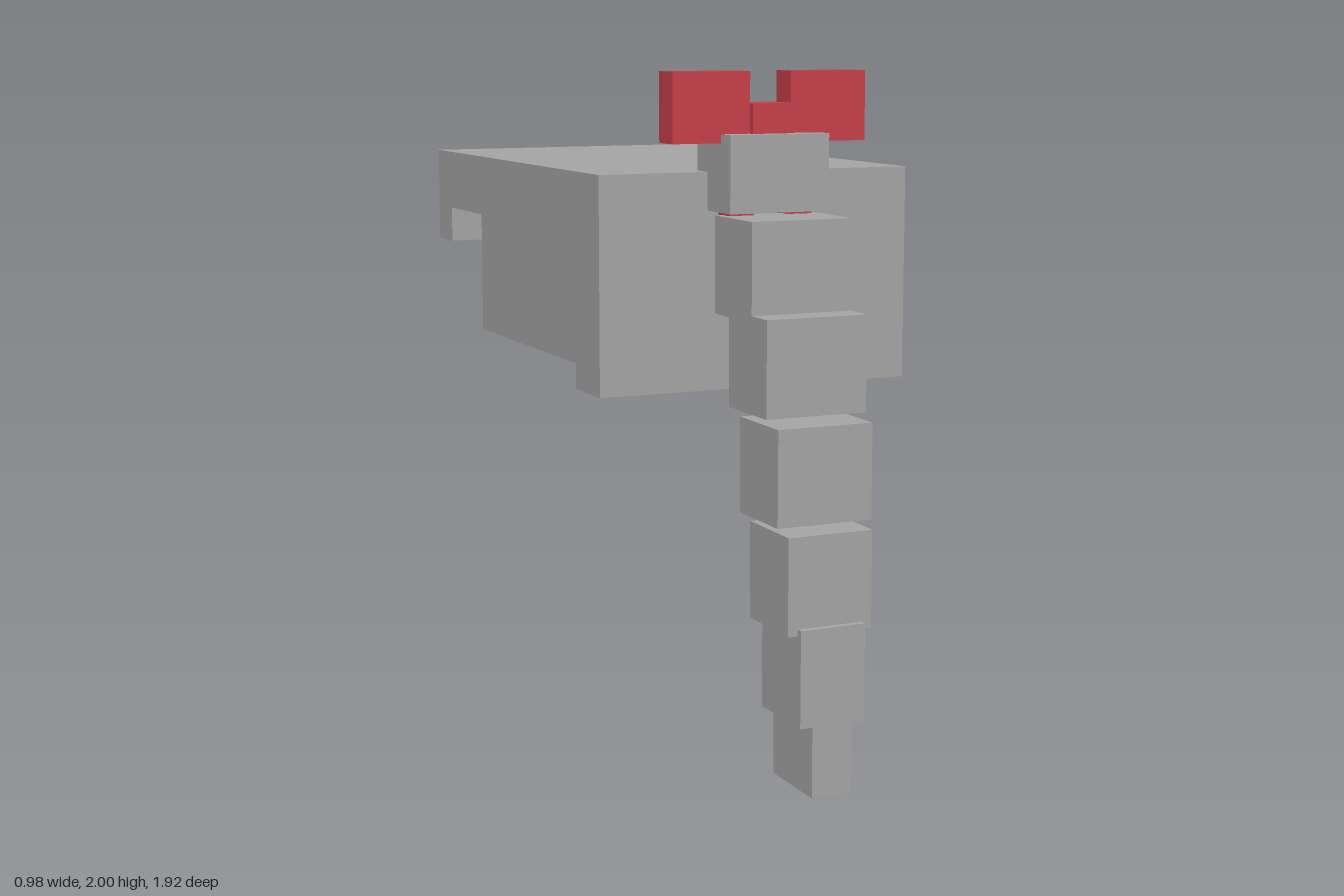
import * as THREE from 'three';

const gray = new THREE.MeshStandardMaterial({ color: 0xa3a3a3 });
gray.name = 'gray skin';
const red = new THREE.MeshStandardMaterial({ color: 0xc43e49 });
red.name = 'red ribbon';

// Box given by its extents along each axis
function block(parent, name, material, [x0, x1], [y0, y1], [z0, z1]) {
  const mesh = new THREE.Mesh(new THREE.BoxGeometry(x1 - x0, y1 - y0, z1 - z0), material);
  mesh.position.set((x0 + x1) / 2, (y0 + y1) / 2, (z0 + z1) / 2);
  mesh.name = name;
  parent.add(mesh);
}

// Pair of boxes mirrored across x = 0
function pair(parent, name, material, [x0, x1], y, z) {
  block(parent, name + 'Left', material, [x0, x1], y, z);
  block(parent, name + 'Right', material, [-x1, -x0], y, z);
}

export function createModel() {
  const model = new THREE.Group();
  model.name = 'trunkedHeadpiece';

  // Hollow head shell, open underneath
  const head = new THREE.Group();
  head.name = 'head';
  const w = 0.49;
  block(head, 'foreheadBlock', gray, [-w, w], [1.085, 1.715], [0.285, 0.47]);
  block(head, 'crownSlab', gray, [-w, w], [1.53, 1.715], [-0.96, 0.285]);
  pair(head, 'sideWall', gray, [0.38, w], [1.16, 1.53], [-0.53, 0.285]);
  block(head, 'backWall', gray, [-w, w], [1.42, 1.53], [-0.96, -0.83]);
  block(head, 'backFlap', gray, [0.09, 0.425], [1.195, 1.42], [-0.96, -0.83]);
  model.add(head);

  // Trunk segments from top to tip: half width, y range, z range
  const trunk = new THREE.Group();
  trunk.name = 'trunk';
  [
    [0.155, [1.605, 1.825], [0.40, 0.62]],
    [0.155, [1.315, 1.595], [0.52, 0.76]],
    [0.155, [1.06, 1.335], [0.615, 0.855]],
    [0.146, [0.765, 1.04], [0.67, 0.91]],
    [0.13, [0.465, 0.745], [0.705, 0.945]],
    [0.10, [0.205, 0.485], [0.725, 0.965]],
    [0.062, [0, 0.205], [0.725, 0.965]],
  ].forEach(([hw, y, z], i) => block(trunk, 'trunkSegment' + (i + 1), gray, [-hw, hw], y, z));
  model.add(trunk);

  // Bow on top of the trunk
  const bow = new THREE.Group();
  bow.name = 'bow';
  block(bow, 'bowKnot', red, [-0.064, 0.064], [1.78, 1.91], [0.445, 0.575]);
  pair(bow, 'bowLoop', red, [0.064, 0.303], [1.8, 2], [0.465, 0.557]);
  pair(bow, 'bowTail', red, [0.055, 0.13], [1.525, 1.8], [0.49, 0.562]);
  model.add(bow);

  return model;
}
